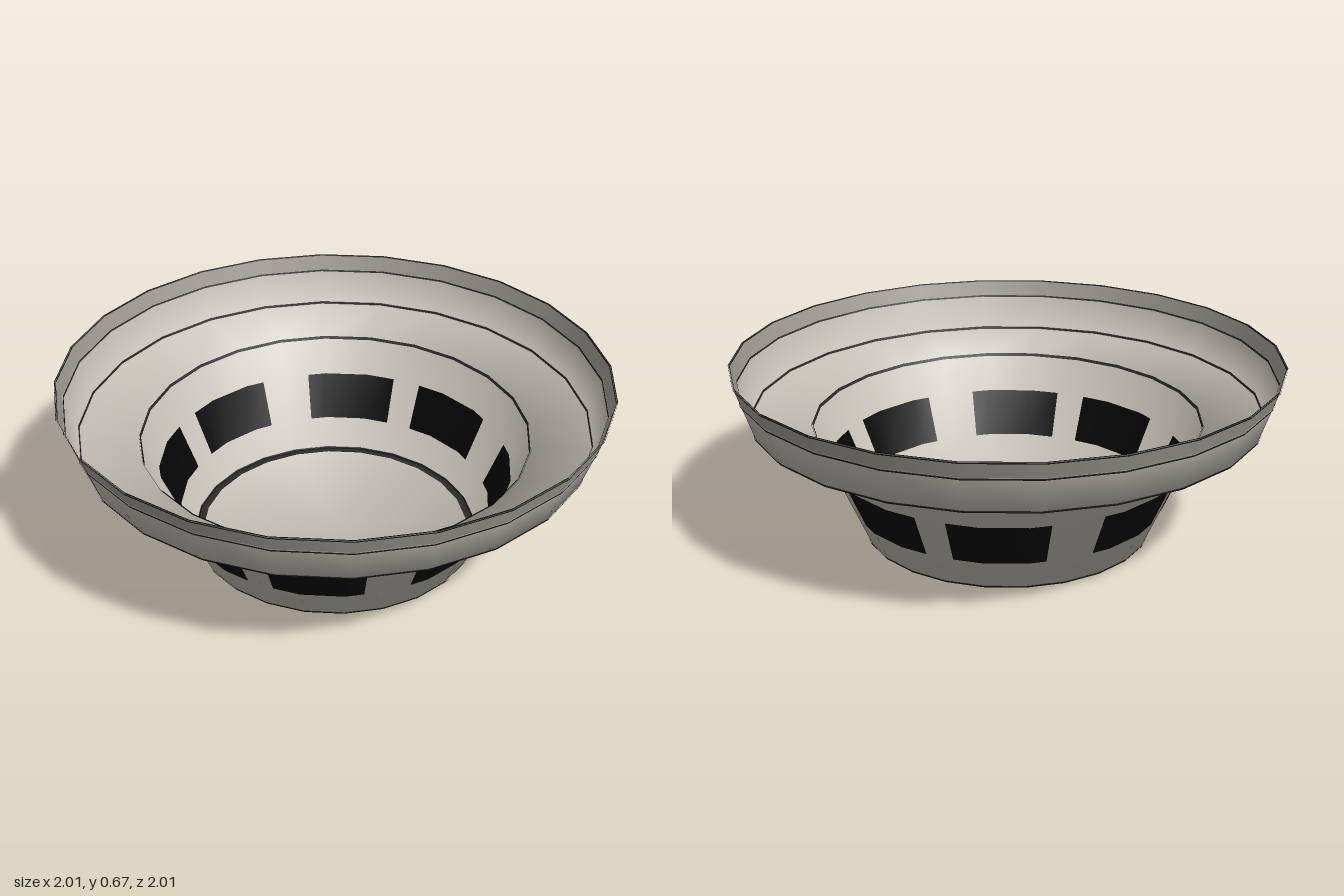
import * as THREE from 'three';

const SIDES = 24;
const STEP = (Math.PI * 2) / SIDES;

function material(name, color) {
  const m = new THREE.MeshStandardMaterial({ color, side: THREE.DoubleSide });
  m.name = name;
  return m;
}

// Shell profile from the floor centre to the lip: [radius, height]
const PROFILE = [[0, 0.004], [0.535, 0.004], [0.72, 0.435], [0.935, 0.475], [0.98, 0.61], [1, 0.67]]
  .map(([r, y]) => new THREE.Vector2(r, y));

// Radius factor that keeps a point on the flat sides of the shell
function facet(angle) {
  const a = ((angle % STEP) + STEP) % STEP;
  return Math.cos(STEP / 2) / Math.cos(a - STEP / 2);
}

// Two points along profile section k, pushed off the surface by d
function strip(k, t0, t1, d) {
  const a = PROFILE[k], b = PROFILE[k + 1];
  const dir = b.clone().sub(a).normalize();
  const push = new THREE.Vector2(dir.y, -dir.x).multiplyScalar(d);
  return [t0, t1].map((t) => a.clone().lerp(b, t).add(push));
}

// Patch that follows the faceted wall between two angles
function patchGeometry([low, high], from, to) {
  const angles = [from];
  for (let i = Math.ceil(from / STEP + 1e-6); i * STEP < to - 1e-6; i++) angles.push(i * STEP);
  angles.push(to);
  const pos = [], index = [];
  angles.forEach((a, i) => {
    for (const p of [low, high]) {
      const r = p.x * facet(a);
      pos.push(r * Math.sin(a), p.y, r * Math.cos(a));
    }
    if (i > 0) {
      const n = i * 2;
      index.push(n - 2, n, n - 1, n, n + 1, n - 1);
    }
  });
  const g = new THREE.BufferGeometry();
  g.setAttribute('position', new THREE.Float32BufferAttribute(pos, 3));
  g.setIndex(index);
  g.computeVertexNormals();
  return g;
}

export function createModel() {
  const model = new THREE.Group();
  const shellGrey = material('warm grey', 0xc0bcb2);
  const rimGrey = material('rim grey', 0x9c9990);
  const seamGrey = material('seam grey', 0x2c2a28);
  const black = material('vent black', 0x060606);

  const add = (name, geometry, mat, parent = model) => {
    const mesh = new THREE.Mesh(geometry, mat);
    mesh.name = name;
    parent.add(mesh);
  };

  // Shell sections share one set of smooth normals
  const full = new THREE.LatheGeometry(PROFILE, SIDES);
  const bands = PROFILE.length - 1;
  const section = (name, band, mat) => {
    const g = full.clone();
    const index = [];
    for (let s = 0; s < SIDES; s++) {
      const start = (s * bands + band) * 6;
      for (let i = 0; i < 6; i++) index.push(full.index.getX(start + i));
    }
    g.setIndex(index);
    add(name, g, mat);
  };
  section('floor', 0, shellGrey);
  section('basketWall', 1, shellGrey);
  section('flange', 2, shellGrey);
  section('collar', 3, shellGrey);
  section('rim', 4, rimGrey);

  // Dark seam rings, inside and outside: [name, section, start, end]
  const seams = new THREE.Group();
  seams.name = 'seams';
  model.add(seams);
  for (const [name, k, t0, t1] of [
    ['floorSeam', 0, 0.945, 0.995],
    ['baseSeam', 1, 0, 0.015],
    ['flangeSeam', 1, 0.975, 1],
    ['collarSeam', 3, 0, 0.05],
    ['rimSeam', 3, 0.95, 1],
    ['lipSeam', 4, 0.92, 1],
  ]) {
    for (const d of [-0.003, 0.003]) {
      add(name, new THREE.LatheGeometry(strip(k, t0, t1, d), SIDES), seamGrey, seams);
    }
  }

  // Eight dark vents, paired in each quarter, on both faces of the wall
  const vents = new THREE.Group();
  vents.name = 'vents';
  model.add(vents);
  const deg = Math.PI / 180;
  for (let q = 0; q < 4; q++) {
    for (const [from, to] of [[8.5, 40], [50, 81.5]]) {
      for (const d of [-0.004, 0.004]) {
        const g = patchGeometry(strip(1, 0.28, 0.67, d), (q * 90 + from) * deg, (q * 90 + to) * deg);
        add('vent', g, black, vents);
      }
    }
  }
  return model;
}
